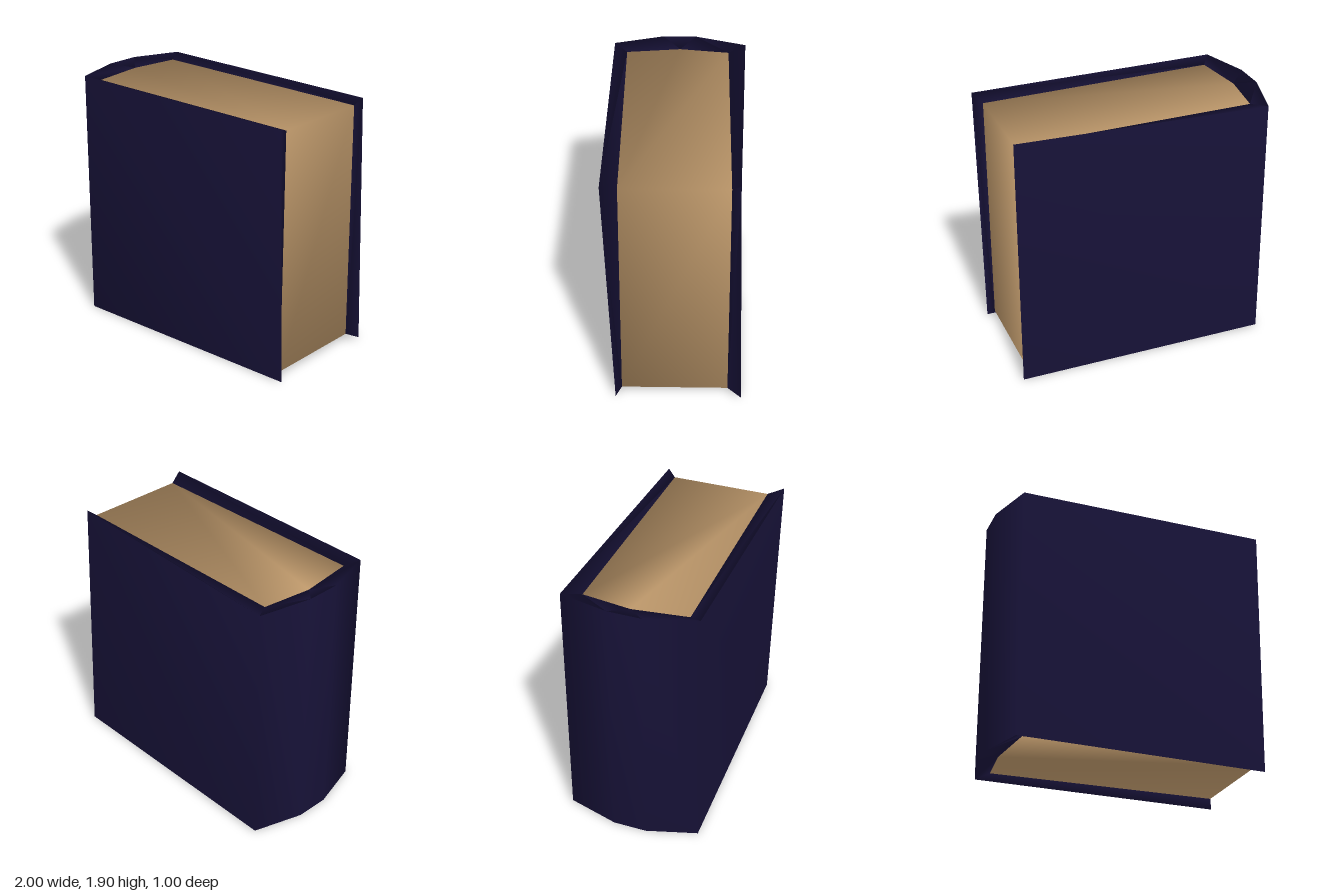
import * as THREE from 'three';

// Skin over a row of equal rings of [x, y, z] points, closed with a fan at both ends.
// Points run clockwise when looking from the last ring back to the first.
function loft(name, rings, color) {
  const n = rings[0].length;
  const last = (rings.length - 1) * n;
  const index = [];
  for (let i = 0; i < last; i += n) {
    for (let j = 0; j < n; j++) {
      const a = i + j, b = i + (j + 1) % n;
      index.push(a, a + n, b, b, a + n, b + n);
    }
  }
  for (let j = 1; j < n - 1; j++) {
    index.push(0, j, j + 1, last, last + j + 1, last + j);
  }
  const geo = new THREE.BufferGeometry();
  geo.setAttribute('position', new THREE.Float32BufferAttribute(rings.flat(2), 3));
  geo.setIndex(index);
  geo.computeVertexNormals();
  const mesh = new THREE.Mesh(geo, new THREE.MeshStandardMaterial({ color }));
  mesh.name = name;
  return mesh;
}

export function createModel() {
  const book = new THREE.Group();
  book.name = 'book';

  // Edges of the page block, from the front fore edge round the spine to the back
  const pageBottom = [
    [0.95, 0.05, 0.4], [-0.82, 0.035, 0.41], [-0.87, 0.02, 0], [-0.82, 0.035, -0.385], [0.95, 0.05, -0.38],
  ];
  const pageTop = [
    [0.95, 1.857, 0.385], [-0.82, 1.867, 0.405], [-0.87, 1.867, 0], [-0.82, 1.867, -0.37], [0.95, 1.857, -0.37],
  ];
  book.add(loft('pages', [pageBottom, pageTop], 0xc09a6c));

  // Outer edges of the cover in the same order; the boards are slightly warped at the fore edge
  const coverBottom = [
    [1, 0, 0.445], [-0.89, 0, 0.5], [-1, 0, 0.13], [-1, 0, -0.12], [-0.9, 0.015, -0.5], [1, 0, -0.48],
  ];
  const coverTop = [
    [1, 1.9, 0.5], [-0.89, 1.905, 0.5], [-1, 1.905, 0.13], [-1, 1.905, -0.12], [-0.9, 1.89, -0.5], [0.98, 1.905, -0.43],
  ];

  // Cover: its rim slopes from the outer edge down to the pages; the spine's two
  // middle sections share one page point
  const pagePoint = [0, 1, 2, 2, 3, 4];
  const sections = pagePoint.map((p, i) => [pageBottom[p], pageTop[p], coverTop[i], coverBottom[i]]);
  book.add(loft('cover', sections, 0x171238));

  return book;
}
